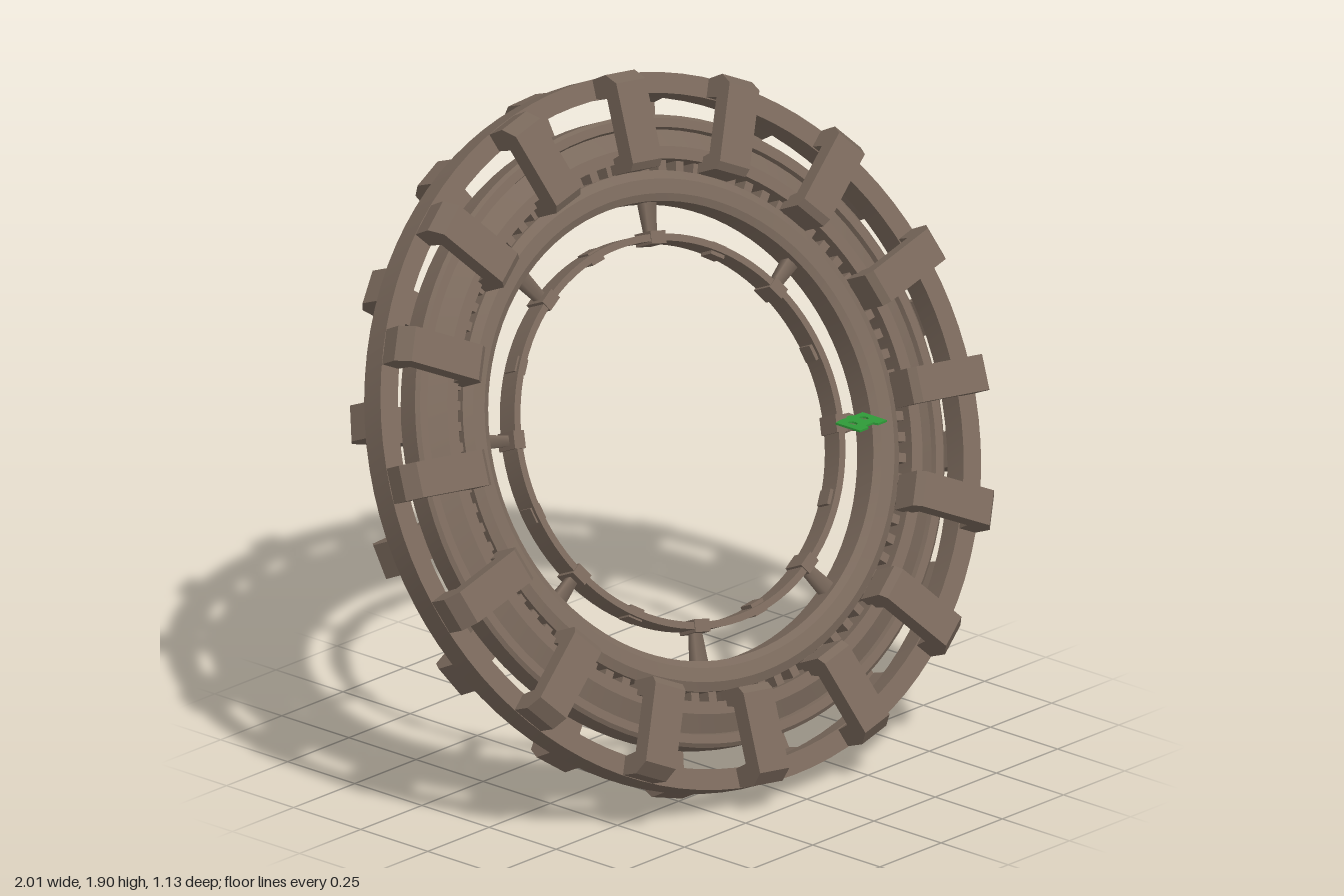
import * as THREE from 'three';
import { toCreasedNormals } from 'three/addons/utils/BufferGeometryUtils.js';

const DEG = Math.PI / 180;

export function createModel() {
  const model = new THREE.Group();
  model.name = 'ringStation';
  const hull = new THREE.MeshStandardMaterial({ color: 0x7a695c });
  hull.name = 'hullBrown';
  const green = new THREE.MeshStandardMaterial({ color: 0x2f9a38 });
  green.name = 'deckGreen';

  // Tilted frame: local z is the axis of all rings
  const wheel = new THREE.Group();
  wheel.name = 'tiltedWheel';
  const n = new THREE.Vector3(-0.15, 0.42, 0.895).normalize();
  const e1 = new THREE.Vector3(1, 0, 0).addScaledVector(n, -n.x).normalize();
  const e2 = new THREE.Vector3().crossVectors(n, e1);
  wheel.quaternion.setFromRotationMatrix(new THREE.Matrix4().makeBasis(e1, e2, n));
  wheel.position.y = 0.95;
  model.add(wheel);

  const add = (name, geo, mat = hull, parent = wheel) => {
    const mesh = new THREE.Mesh(geo, mat);
    mesh.name = name;
    parent.add(mesh);
    return mesh;
  };

  // Ring turned from a closed section of [radius, height] points,
  // given for the upper half from outside to inside and mirrored
  const ring = (name, half) => {
    const mirrored = half.map(([r, h]) => [r, -h]).reverse();
    const loop = [...half, ...mirrored, half[0]].map(([r, h]) => new THREE.Vector2(r, h));
    const geo = new THREE.LatheGeometry(loop, 96).rotateX(Math.PI / 2);
    add(name, toCreasedNormals(geo, 0.35));
  };

  // Copies of one part set around the axis
  const around = (name, geo, count, startDeg) => {
    for (let i = 0; i < count; i++) {
      add(name, geo).rotation.z = startDeg * DEG + (i * 2 * Math.PI) / count;
    }
  };

  // Rings from the outside in
  ring('outerHoop', [[0.998, 0.04], [0.94, 0.04]]);
  ring('mainRing', [
    [0.88, 0.035], [0.87, 0.045], [0.845, 0.045], [0.84, 0.03], [0.79, 0.06], [0.755, 0.06],
  ]);
  ring('innerBand', [[0.725, 0.04], [0.7, 0.055], [0.66, 0.052], [0.64, 0.04]]);
  ring('innerHoop', [[0.55, 0.036], [0.53, 0.036]]);

  // Fine ribs between the main ring and the inner band
  around('rib', new THREE.BoxGeometry(0.05, 0.026, 0.06).translate(0.74, 0, 0), 80, 0);

  // Angled brackets from the hoop to the main ring,
  // front and back sets staggered by half a step
  const hook = new THREE.Shape([
    [0.945, 0.02], [0.994, 0.02], [1.0, 0.105], [0.97, 0.148], [0.745, 0.148],
    [0.725, 0.13], [0.725, 0.04], [0.765, 0.04], [0.775, 0.09], [0.935, 0.09],
  ].map(([r, h]) => new THREE.Vector2(r, h)));
  const bracket = new THREE.ExtrudeGeometry(hook, { depth: 0.1, bevelEnabled: false }).translate(0, 0, -0.05);
  around('frontBracket', bracket.clone().rotateX(Math.PI / 2), 16, -8);
  around('backBracket', bracket.clone().rotateX(-Math.PI / 2), 16, 3.25);

  // Tapered spokes with feet, and small blocks on the inner hoop
  const spoke = new THREE.CylinderGeometry(0.028, 0.018, 0.11, 4, 1)
    .rotateY(Math.PI / 4).rotateZ(-Math.PI / 2).translate(0.595, 0, 0);
  around('spoke', spoke, 8, -14.5);
  around('spokeFoot', new THREE.BoxGeometry(0.036, 0.05, 0.078).translate(0.54, 0, 0), 8, -14.5);
  around('hoopBlock', new THREE.BoxGeometry(0.036, 0.045, 0.05).translate(0.537, 0, 0), 8, 8);

  // Small level deck near the right-hand spoke, with cut-outs
  const deck = new THREE.Group();
  deck.name = 'deck';
  deck.position.set(0.54, 0.88, 0.21);
  model.add(deck);
  const outline = new THREE.Shape([
    [-0.055, -0.045], [-0.02, -0.045], [-0.015, -0.03], [0.015, -0.03], [0.02, -0.045], [0.055, -0.045],
    [0.055, 0.045], [0.02, 0.045], [0.01, 0.055], [-0.03, 0.05], [-0.055, 0.045],
  ].map(([x, y]) => new THREE.Vector2(x, y)));
  for (const [x, y] of [[-0.025, 0.008], [0.025, 0.012]]) {
    outline.holes.push(new THREE.Path().absellipse(x, y, 0.01, 0.015, 0, Math.PI * 2));
  }
  const plate = new THREE.ExtrudeGeometry(outline, { depth: 0.006, bevelEnabled: false, curveSegments: 4 });
  add('deckPlate', plate.rotateX(-Math.PI / 2), green, deck);
  for (const x of [-0.02, 0.02]) {
    add('deckStrut', new THREE.BoxGeometry(0.012, 0.012, 0.09), hull, deck).position.set(x, -0.007, -0.04);
  }
  add('deckBlock', new THREE.BoxGeometry(0.07, 0.035, 0.04), hull, deck).position.set(0.01, -0.022, -0.07);
  return model;
}
